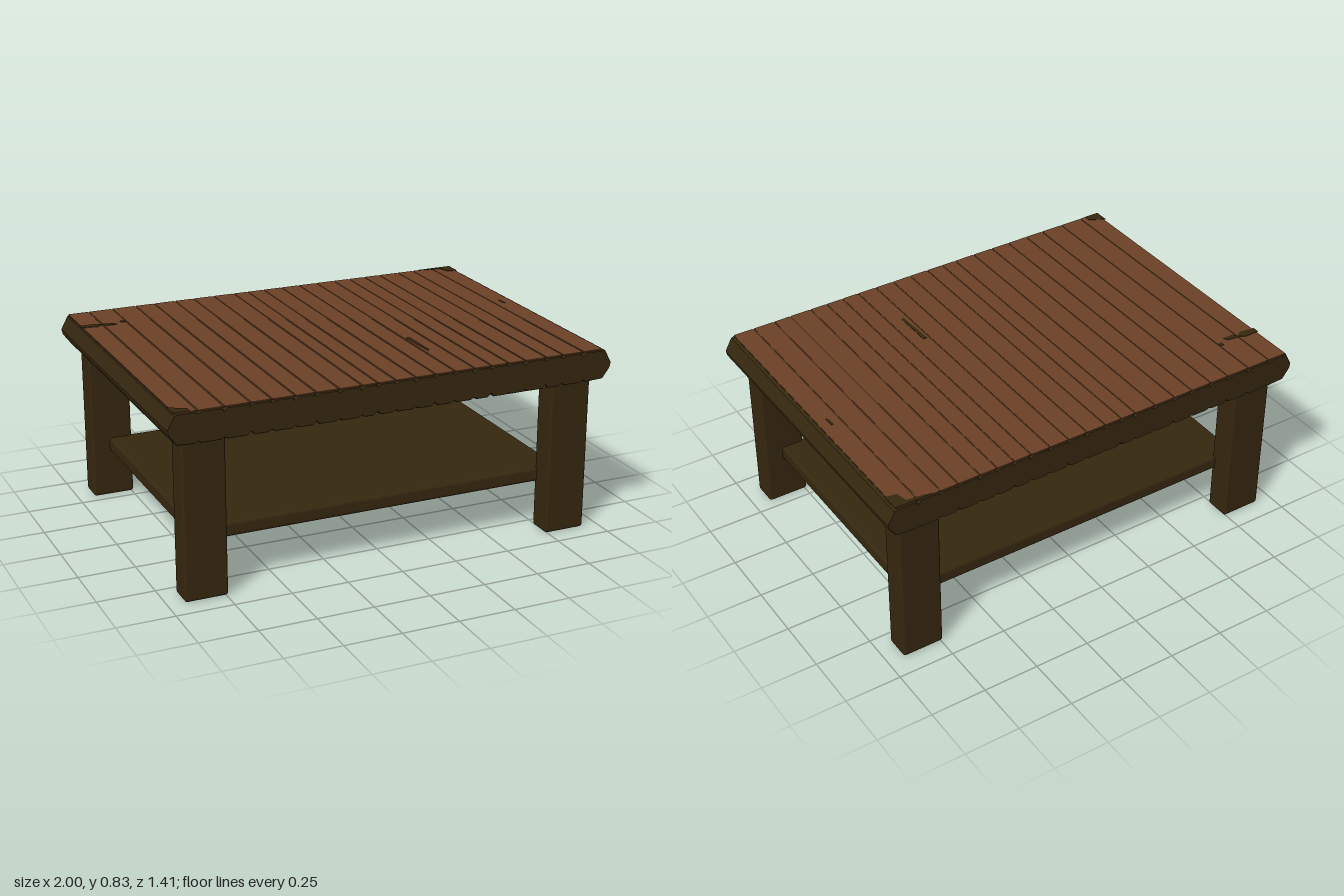
import * as THREE from 'three';
import { RoundedBoxGeometry } from 'three/addons/geometries/RoundedBoxGeometry.js';

const mat = (name, color) => {
  const m = new THREE.MeshStandardMaterial({ color });
  m.name = name;
  return m;
};

export function createModel() {
  const table = new THREE.Group();
  table.name = 'table';
  const dark = mat('dark wood', 0x35270f);
  const brown = mat('brown plank', 0x6b4126);
  const seam = mat('plank seam', 0x4b2e1a);

  const add = (name, geometry, material, x = 0, y = 0, z = 0, parent = table) => {
    const mesh = new THREE.Mesh(geometry, material);
    mesh.name = name;
    mesh.position.set(x, y, z);
    parent.add(mesh);
    return mesh;
  };
  const box = (w, h, d) => new THREE.BoxGeometry(w, h, d);

  // Tabletop slab: pointed ends, with V grooves between planks on both faces
  const grooves = [-0.87, -0.76, -0.65, -0.56, -0.46, -0.37, -0.27, -0.17, -0.1, -0.02,
    0.07, 0.16, 0.25, 0.34, 0.42, 0.5, 0.58, 0.68, 0.76, 0.86];
  const depth = (i) => (i % 3 === 0 ? 0.014 : 0.008);
  const s = new THREE.Shape();
  s.moveTo(-0.995, 0.745);
  s.lineTo(-0.96, 0.698);
  grooves.forEach((x, i) => {
    s.lineTo(x - 0.014, 0.694);
    s.lineTo(x, 0.694 + depth(i + 1));
    s.lineTo(x + 0.014, 0.694);
  });
  s.lineTo(0.96, 0.698);
  s.lineTo(0.995, 0.745);
  s.lineTo(1, 0.768);
  s.lineTo(0.968, 0.824);
  s.lineTo(0.955, 0.828);
  [...grooves].reverse().forEach((x, i) => {
    s.lineTo(x + 0.012, 0.828);
    s.lineTo(x, 0.828 - depth(i));
    s.lineTo(x - 0.012, 0.828);
  });
  s.lineTo(-0.955, 0.828);
  s.lineTo(-0.97, 0.824);
  s.lineTo(-1, 0.768);
  const slab = new THREE.ExtrudeGeometry(s, { depth: 1.396, bevelEnabled: true,
    bevelThickness: 0.007, bevelSize: 0.004, bevelOffset: -0.004, bevelSegments: 1 });
  slab.translate(0, 0, -0.698);
  add('tabletopSlab', slab, dark);

  // Brown plank faces over a darker seam sheet
  const planks = new THREE.Group();
  planks.name = 'plankFaces';
  table.add(planks);
  add('seamSheet', box(1.92, 0.003, 1.4), seam, -0.005, 0.8285, 0, planks);
  const bounds = [-0.967, ...grooves, 0.957];
  for (let i = 0; i < bounds.length - 1; i++) {
    const a = bounds[i] + 0.004, b = bounds[i + 1] - 0.004;
    add('plankFace', box(b - a, 0.004, 1.403), brown, (a + b) / 2, 0.83, 0, planks);
  }

  // Worn dark patches: outline points are [x, z]
  const patches = [
    [[0.26, 0.23], [0.28, 0.23], [0.28, 0.41], [0.27, 0.42]],
    [[-0.97, -0.51], [-0.9, -0.51], [-0.87, -0.49], [-0.9, -0.47], [-0.97, -0.48]],
    [[-0.88, -0.5], [-0.82, -0.49], [-0.81, -0.47], [-0.86, -0.47]],
    [[-0.785, -0.51], [-0.765, -0.51], [-0.765, -0.49], [-0.785, -0.49]],
    [[0.79, -0.7], [0.96, -0.7], [0.96, -0.62], [0.91, -0.63], [0.9, -0.68], [0.82, -0.69]],
    [[-0.97, 0.63], [-0.9, 0.67], [-0.9, 0.7], [-0.97, 0.7]],
    [[0.9, -0.1], [0.91, -0.1], [0.91, -0.05], [0.9, -0.06]],
  ];
  patches.forEach((pts) => {
    const shape = new THREE.Shape(pts.map(([x, z]) => new THREE.Vector2(x, -z)));
    const g = new THREE.ExtrudeGeometry(shape, { depth: 0.002, bevelEnabled: false });
    g.rotateX(-Math.PI / 2);
    add('wornPatch', g, dark, 0, 0.832, 0);
  });

  // Bare brown strips under the long edges
  add('undersideStripBack', box(1.46, 0.004, 0.03), brown, 0, 0.693, -0.675);
  add('undersideStripFront', box(0.24, 0.004, 0.03), brown, 0.6, 0.693, 0.675);

  // Four square legs with softened edges
  for (const x of [-1, 1]) {
    for (const z of [-1, 1]) {
      add('leg', new RoundedBoxGeometry(0.187, 0.71, 0.115, 2, 0.012), dark,
        x * 0.834, 0.355, z * 0.602);
    }
  }

  // Lower shelf let into the legs
  add('shelf', new RoundedBoxGeometry(1.69, 0.064, 1.13, 2, 0.015), dark, 0, 0.242, 0);

  return table;
}
